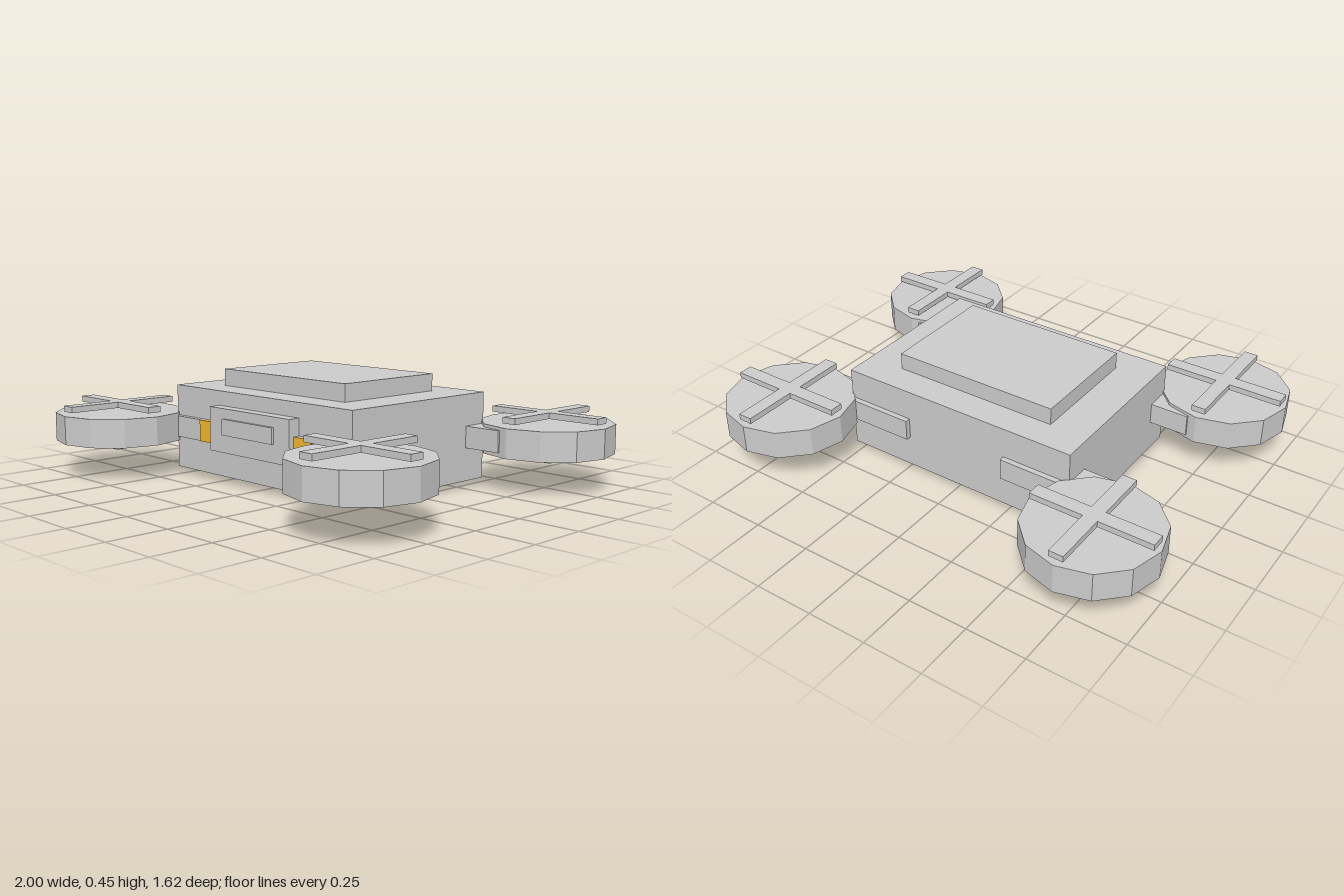
import * as THREE from 'three';

const grey = new THREE.MeshStandardMaterial({ color: 0xcccccc, flatShading: true });
const amber = new THREE.MeshStandardMaterial({ color: 0xf5b82a, flatShading: true });

// Box given by its centre in x and z, its bottom and top in y, and its width and depth
function addBox(parent, name, x, z, bottom, top, width, depth, material = grey) {
  const mesh = new THREE.Mesh(new THREE.BoxGeometry(width, top - bottom, depth), material);
  mesh.name = name;
  mesh.position.set(x, (bottom + top) / 2, z);
  parent.add(mesh);
  return mesh;
}

// Twelve-sided pod with crossed blades above and a small foot below
function createRotor() {
  const rotor = new THREE.Group();
  const pod = new THREE.Mesh(new THREE.CylinderGeometry(0.271, 0.271, 0.12, 12), grey);
  pod.name = 'rotorPod';
  pod.position.y = 0.205;
  rotor.add(pod);
  addBox(rotor, 'bladeAcross', 0, 0, 0.281, 0.306, 0.51, 0.06);
  addBox(rotor, 'bladeAlong', 0, 0, 0.281, 0.306, 0.06, 0.51);
  addBox(rotor, 'foot', 0, 0, 0.107, 0.129, 0.12, 0.12);
  return rotor;
}

export function createModel() {
  const model = new THREE.Group();
  model.name = 'quadDrone';

  // Body with raised top and bottom plates
  addBox(model, 'body', 0, 0, 0.027, 0.381, 1.056, 0.754);
  addBox(model, 'topPlate', 0, 0, 0.381, 0.452, 0.724, 0.5);
  addBox(model, 'bottomPlate', 0, 0, 0, 0.027, 0.785, 0.5);

  // Front panel with its inset bar
  addBox(model, 'frontPanel', 0, 0.393, 0.14, 0.321, 0.484, 0.068);
  addBox(model, 'frontBar', 0, 0.416, 0.214, 0.28, 0.305, 0.044);

  for (const sx of [-1, 1]) {
    const side = sx > 0 ? 'left' : 'right';
    addBox(model, side + 'Lamp', sx * 0.29, 0.38, 0.163, 0.252, 0.1, 0.05, amber);

    // Arms and rotors at the four corners
    for (const sz of [-1, 1]) {
      const corner = side + (sz > 0 ? 'Front' : 'Back');
      addBox(model, corner + 'Arm', sx * 0.46, sz * 0.334, 0.163, 0.252, 0.46, 0.132);
      const rotor = createRotor();
      rotor.name = corner + 'Rotor';
      rotor.position.set(sx * 0.729, 0, sz * 0.537);
      model.add(rotor);
    }
  }
  return model;
}
